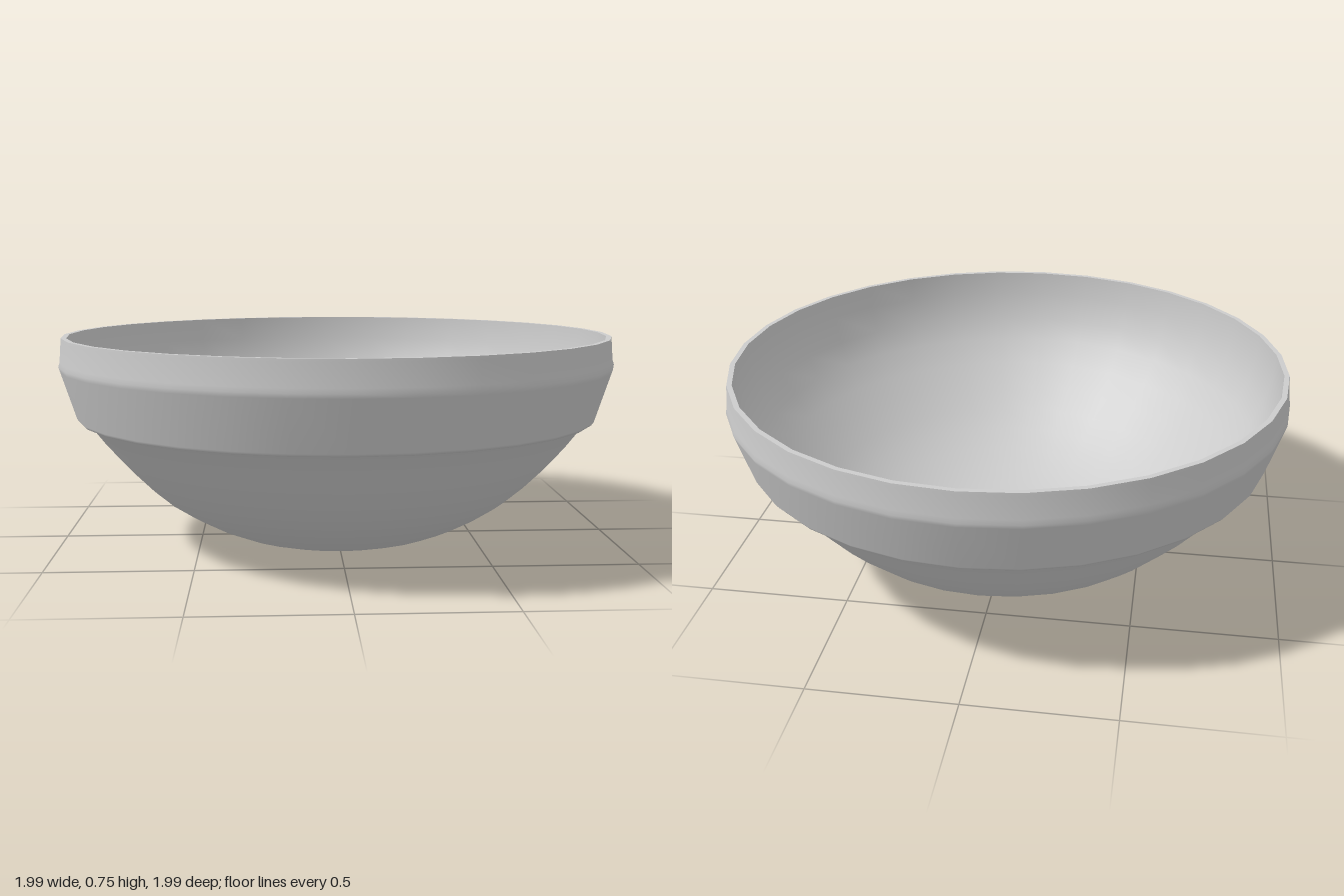
import * as THREE from 'three';

const SEGMENTS = 32;

// Rounded bowl curve from the flat base up to the band: [radius, height]
const CURVE = [
  [0.25, 0.003], [0.32, 0.012], [0.39, 0.032], [0.47, 0.065], [0.55, 0.108],
  [0.63, 0.16], [0.70, 0.22], [0.77, 0.29], [0.84, 0.37], [0.905, 0.455],
];

export function createModel() {
  const bowl = new THREE.Group();
  bowl.name = 'bowl';
  const material = new THREE.MeshStandardMaterial({ color: 0xcccccc });

  const addLathe = (name, profile) => {
    const points = profile.map(([r, y]) => new THREE.Vector2(r, y));
    const mesh = new THREE.Mesh(new THREE.LatheGeometry(points, SEGMENTS), material);
    mesh.name = name;
    bowl.add(mesh);
  };

  // Outside: flat base, rounded body, small ledge and flared band
  addLathe('outerShell', [
    [0, 0], [0.235, 0], ...CURVE,
    [0.93, 0.455], [0.938, 0.465], [0.992, 0.635], [0.997, 0.65],
    [0.992, 0.665], [0.986, 0.74], [0.985, 0.75],
  ]);

  // Narrow flat lip joining outside and inside
  addLathe('rimLip', [[0.985, 0.75], [0.967, 0.75]]);

  // Inside: follows the outer curve at a thin wall thickness
  const inner = CURVE.map(([r, y]) => [r - 0.012, y + 0.018]).reverse();
  addLathe('innerShell', [
    [0.967, 0.75], [0.962, 0.66], [0.935, 0.56], ...inner, [0.2, 0.018], [0, 0.018],
  ]);

  return bowl;
}
